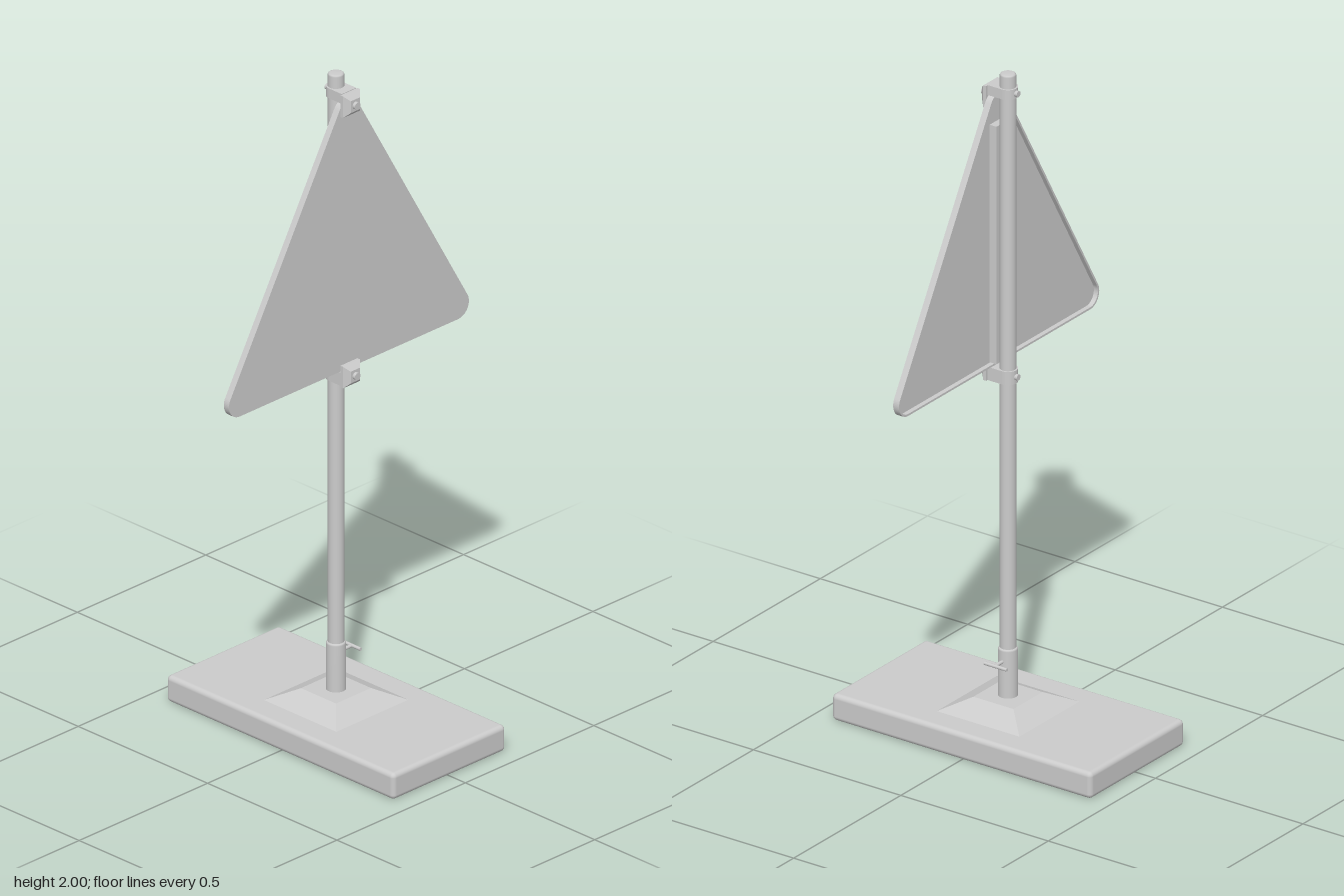
import * as THREE from 'three';
import { RoundedBoxGeometry } from 'three/addons/geometries/RoundedBoxGeometry.js';

const smooth = new THREE.MeshStandardMaterial({ color: 0xcccccc });
const flat = new THREE.MeshStandardMaterial({ color: 0xcccccc, flatShading: true });

function add(parent, name, geometry, x, y, z, material = smooth) {
  const mesh = new THREE.Mesh(geometry, material);
  mesh.name = name;
  mesh.position.set(x, y, z);
  parent.add(mesh);
  return mesh;
}

// Equilateral triangle outline: three corner arcs joined by straight edges
function triangle(radius, Type = THREE.Shape) {
  const path = new Type();
  const half = 0.425, low = 1.155, high = low + half * Math.sqrt(3);
  const corners = [[half, low, -90], [0, high, 30], [-half, low, 150]];
  for (const [x, y, start] of corners) {
    const a = THREE.MathUtils.degToRad(start);
    path.absarc(x, y, radius, a, a + Math.PI * 2 / 3, false);
  }
  path.closePath();
  return path;
}

const extrude = (shape, depth) =>
  new THREE.ExtrudeGeometry(shape, { depth, bevelEnabled: false, curveSegments: 10 });

// Square frustum along y, given half-widths of its ends
const frustum = (top, bottom, height) =>
  new THREE.CylinderGeometry(top * Math.SQRT2, bottom * Math.SQRT2, height, 4).rotateY(Math.PI / 4);

// Clamp: arm around the pole, tapered front plate and bolts at both ends
function clamp(name, plateY, armY, armHeight) {
  const group = new THREE.Group();
  group.name = name;
  const strap = new THREE.Shape();
  strap.moveTo(0.028, -0.05);
  strap.lineTo(0.028, 0);
  strap.absarc(0, 0, 0.028, 0, Math.PI, false);
  strap.lineTo(-0.028, -0.05);
  strap.closePath();
  add(group, 'clampArm', extrude(strap, armHeight).rotateX(-Math.PI / 2), 0, armY - armHeight / 2, 0);
  add(group, 'clampPlate', new THREE.BoxGeometry(0.066, 0.066, 0.01), 0, plateY, 0.055);
  add(group, 'clampTaper', frustum(0.018, 0.033, 0.015).rotateX(Math.PI / 2), 0, plateY, 0.0675, flat);
  add(group, 'frontBolt', new THREE.CylinderGeometry(0.011, 0.011, 0.012, 16).rotateX(Math.PI / 2), 0, plateY, 0.078);
  add(group, 'rearBolt', new THREE.CylinderGeometry(0.009, 0.009, 0.016, 12).rotateX(Math.PI / 2), 0, armY, -0.028);
  return group;
}

export function createModel() {
  const model = new THREE.Group();
  model.name = 'signStand';

  // Weighted foot and its raised pedestal
  add(model, 'base', new RoundedBoxGeometry(0.44, 0.08, 0.88, 3, 0.014), 0, 0.04, 0);
  add(model, 'pedestal', frustum(0.068, 0.14, 0.036), 0, 0.098, 0, flat);

  // Socket and pole with softened upper rims
  const tube = (radius, y0, y1) => new THREE.LatheGeometry([
    [0, y0], [radius, y0], [radius, y0], [radius, y1 - 0.006],
    [radius - 0.002, y1 - 0.002], [radius - 0.006, y1], [0, y1],
  ].map(([x, y]) => new THREE.Vector2(x, y)), 28);
  add(model, 'socket', tube(0.028, 0.11, 0.262), 0, 0, 0);
  add(model, 'pole', tube(0.023, 0.2, 2), 0, 0, 0);

  // Locking lever with a crossbar handle
  const lever = new THREE.Group();
  lever.name = 'lockingLever';
  add(lever, 'leverStem', new THREE.CylinderGeometry(0.005, 0.005, 0.042, 12).rotateZ(Math.PI / 2), 0.04, 0.225, 0);
  add(lever, 'leverHandle', new THREE.CylinderGeometry(0.005, 0.005, 0.076, 12).rotateX(Math.PI / 2), 0.062, 0.225, -0.004);
  model.add(lever);

  // Triangular panel: front sheet with a rim folded to the back
  const panel = new THREE.Group();
  panel.name = 'signPanel';
  add(panel, 'panelSheet', extrude(triangle(0.042), 0.006), 0, 0, 0.044);
  const rim = triangle(0.042);
  rim.holes.push(triangle(0.036, THREE.Path));
  add(panel, 'panelRim', extrude(rim, 0.014), 0, 0, 0.03);
  add(panel, 'panelRib', new THREE.BoxGeometry(0.05, 0.72, 0.024), 0, 1.48, 0.033);
  model.add(panel);

  model.add(clamp('upperClamp', 1.925, 1.945, 0.03));
  model.add(clamp('lowerClamp', 1.098, 1.086, 0.04));
  return model;
}
